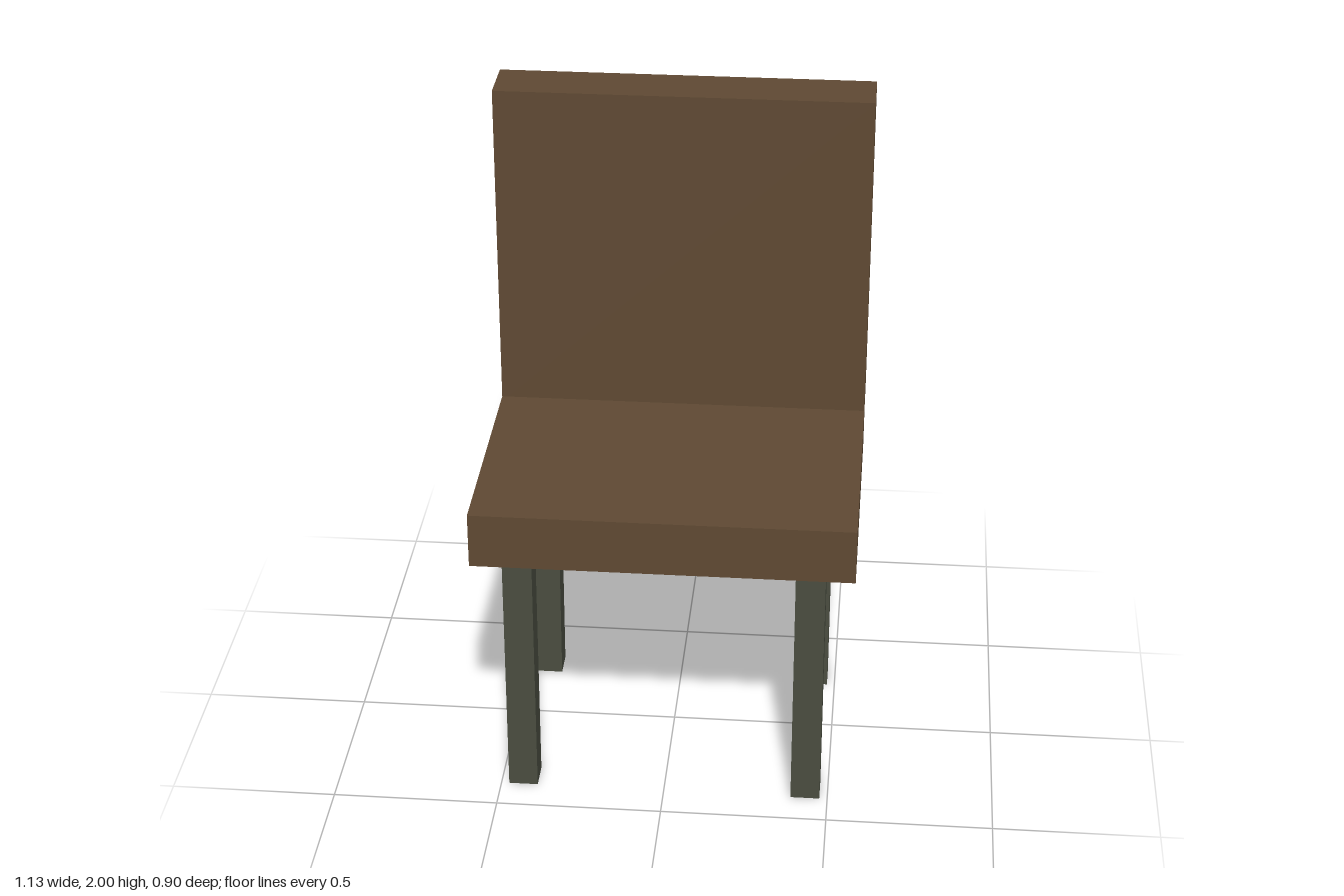
import * as THREE from 'three';

const wood = new THREE.MeshStandardMaterial({ color: 0x5f4933 });
const darkMetal = new THREE.MeshStandardMaterial({ color: 0x4a4d40 });

// Box given by its extents along each axis
function box(name, material, [x0, x1], [y0, y1], [z0, z1]) {
  const mesh = new THREE.Mesh(new THREE.BoxGeometry(x1 - x0, y1 - y0, z1 - z0), material);
  mesh.position.set((x0 + x1) / 2, (y0 + y1) / 2, (z0 + z1) / 2);
  mesh.name = name;
  return mesh;
}

export function createModel() {
  const chair = new THREE.Group();
  chair.name = 'chair';

  // Seat slab and the backrest, which overhangs the seat's rear edge
  chair.add(box('seat', wood, [-0.563, 0.563], [0.813, 0.983], [-0.375, 0.452]));
  chair.add(box('backrest', wood, [-0.563, 0.563], [0.968, 2], [-0.452, -0.281]));

  // Four square legs
  const half = 0.044;
  for (const [side, x] of [['Left', 0.432], ['Right', -0.432]]) {
    for (const [end, z] of [['front', 0.35], ['back', -0.271]]) {
      chair.add(box(`${end}${side}Leg`, darkMetal,
        [x - half, x + half], [0, 0.813], [z - half, z + half]));
    }
  }
  return chair;
}
